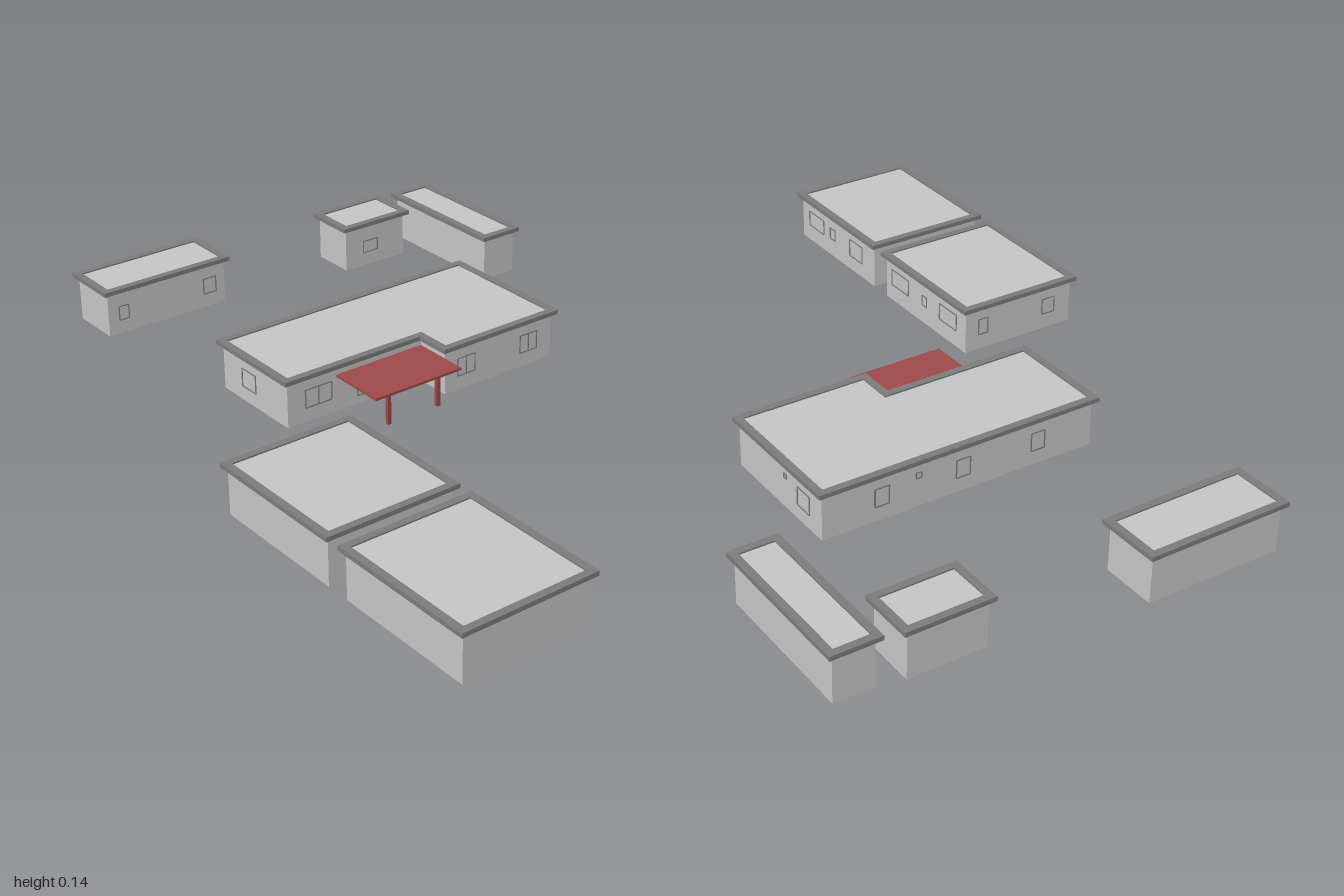
import * as THREE from 'three';

const wallGrey = new THREE.MeshStandardMaterial({ color: 0xc6c6c6 });
wallGrey.name = 'wall grey';
const trimGrey = new THREE.MeshStandardMaterial({ color: 0x7c7c7c });
trimGrey.name = 'trim grey';
const canopyRed = new THREE.MeshStandardMaterial({ color: 0xa04a4a });
canopyRed.name = 'canopy red';

const EAVE = 0.013, WALL = 0.005, WALL_TOP = 0.124, RIM_TOP = 0.136;

// Moves every edge of a right-angled counter-clockwise outline inwards by d.
function inset(points, d) {
  const n = points.length;
  const normal = (a, b) => {
    const l = Math.hypot(b[0] - a[0], b[1] - a[1]);
    return [-(b[1] - a[1]) / l, (b[0] - a[0]) / l];
  };
  return points.map((p, i) => {
    const u = normal(points[(i + n - 1) % n], p);
    const v = normal(p, points[(i + 1) % n]);
    return [p[0] + d * (u[0] + v[0]), p[1] + d * (u[1] + v[1])];
  });
}

// Upright slab over an (x, z) outline, optionally hollow.
function slab(name, outer, inner, bottom, top, material) {
  const toVectors = (list) => list.map(([x, z]) => new THREE.Vector2(x, z));
  const shape = new THREE.Shape(toVectors(outer));
  if (inner) shape.holes.push(new THREE.Path(toVectors(inner)));
  const geometry = new THREE.ExtrudeGeometry(shape, { depth: top - bottom, bevelEnabled: false });
  geometry.rotateX(Math.PI / 2).translate(0, top, 0);
  const mesh = new THREE.Mesh(geometry, material);
  mesh.name = name;
  return mesh;
}

function box(name, x0, x1, y0, y1, z0, z1, material) {
  const mesh = new THREE.Mesh(new THREE.BoxGeometry(x1 - x0, y1 - y0, z1 - z0), material);
  mesh.position.set((x0 + x1) / 2, (y0 + y1) / 2, (z0 + z1) / 2);
  mesh.name = name;
  return mesh;
}

// Thin frame through a wall: axis 'z' for walls facing front or back, 'x' for side walls.
function windowFrame(axis, at, a0, a1, y0, y1, divided) {
  const frame = new THREE.Group();
  frame.name = 'windowFrame';
  const t = 0.0015, d = 0.0045;
  const bar = (b0, b1, c0, c1) => frame.add(axis === 'z'
    ? box('frameBar', b0, b1, c0, c1, at - d, at + d, trimGrey)
    : box('frameBar', at - d, at + d, c0, c1, b0, b1, trimGrey));
  bar(a0, a1, y0 - t, y0 + t);
  bar(a0, a1, y1 - t, y1 + t);
  const uprights = divided ? [a0, (a0 + a1) / 2, a1] : [a0, a1];
  uprights.forEach((u) => bar(u - t, u + t, y0, y1));
  return frame;
}

// Open-bottomed building with overhanging rim and slightly sunken flat roof.
function building(name, outline, windows = []) {
  const group = new THREE.Group();
  group.name = name;
  const wall = inset(outline, EAVE);
  group.add(slab('walls', wall, inset(wall, WALL), 0, WALL_TOP, wallGrey));
  group.add(slab('roofRim', outline, inset(outline, 0.02), WALL_TOP, RIM_TOP, trimGrey));
  group.add(slab('roof', inset(outline, 0.0195), null, WALL_TOP - 0.002, RIM_TOP - 0.004, wallGrey));
  windows.forEach((w) => group.add(windowFrame(...w)));
  return group;
}

const rect = (x0, x1, z0, z1) => [[x0, z0], [x1, z0], [x1, z1], [x0, z1]];

export function createModel() {
  const model = new THREE.Group();
  model.name = 'buildingComplex';
  const c = EAVE + WALL / 2; // roof edge to wall centre

  // Main building with a recessed front corner
  const mainOutline = [[-0.375, -0.407], [0.427, -0.407], [0.427, 0.002],
    [0.044, 0.002], [0.044, -0.098], [-0.375, -0.098]];
  model.add(building('mainBuilding', mainOutline, [
    ['z', -0.098 - c, -0.308, -0.228, 0.04, 0.09, true],
    ['z', -0.098 - c, -0.147, -0.03, 0.023, 0.088, true],
    ['z', 0.002 - c, 0.098, 0.155, 0.04, 0.09, true],
    ['z', 0.002 - c, 0.308, 0.365, 0.04, 0.09, true],
    ['x', 0.427 - c, -0.34, -0.285, 0.04, 0.09, false],
    ['x', 0.427 - c, -0.236, -0.224, 0.083, 0.095, false],
    ['z', -0.407 + c, 0.23, 0.27, 0.04, 0.09, false],
    ['z', -0.407 + c, 0.14, 0.155, 0.08, 0.095, false],
    ['z', -0.407 + c, 0.0, 0.04, 0.04, 0.09, false],
    ['z', -0.407 + c, -0.22, -0.18, 0.04, 0.09, false],
    ['x', -0.375 + c, -0.31, -0.25, 0.04, 0.09, false],
  ]));

  // Two square buildings at the front
  model.add(building('frontBuilding', rect(-0.715, -0.346, 0.583, 1.0), [
    ['x', -0.346 - c, 0.87, 0.95, 0.048, 0.092, false],
    ['x', -0.346 - c, 0.807, 0.834, 0.053, 0.086, false],
    ['x', -0.346 - c, 0.66, 0.727, 0.043, 0.094, false],
  ]));
  model.add(building('middleBuilding', rect(-0.715, -0.346, 0.13, 0.543), [
    ['x', -0.346 - c, 0.42, 0.503, 0.048, 0.095, false],
    ['x', -0.346 - c, 0.33, 0.352, 0.053, 0.082, false],
    ['x', -0.346 - c, 0.187, 0.267, 0.048, 0.095, false],
    ['z', 0.13 + c, -0.43, -0.4, 0.045, 0.09, false],
    ['z', 0.13 + c, -0.65, -0.61, 0.045, 0.09, false],
  ]));

  // Outbuildings at the back
  model.add(building('longShed', rect(-0.456, -0.058, -1.0, -0.825), [
    ['z', -0.825 - c, -0.41, -0.38, 0.04, 0.08, false],
    ['z', -0.825 - c, -0.14, -0.1, 0.04, 0.085, false],
  ]));
  model.add(building('smallShed', rect(0.305, 0.538, -0.932, -0.778), [
    ['z', -0.778 - c, 0.38, 0.43, 0.04, 0.075, false],
  ]));
  model.add(building('narrowShed', rect(0.578, 0.71, -0.915, -0.482)));

  // Entrance canopy on two posts
  const canopy = new THREE.Group();
  canopy.name = 'entranceCanopy';
  canopy.add(box('canopyRoof', -0.212, 0.057, 0.096, 0.103, -0.111, 0.054, canopyRed));
  [-0.17, -0.015].forEach((x) => canopy.add(
    box('canopyPost', x - 0.005, x + 0.005, 0.017, 0.097, 0.043, 0.053, canopyRed)));
  model.add(canopy);

  return model;
}
